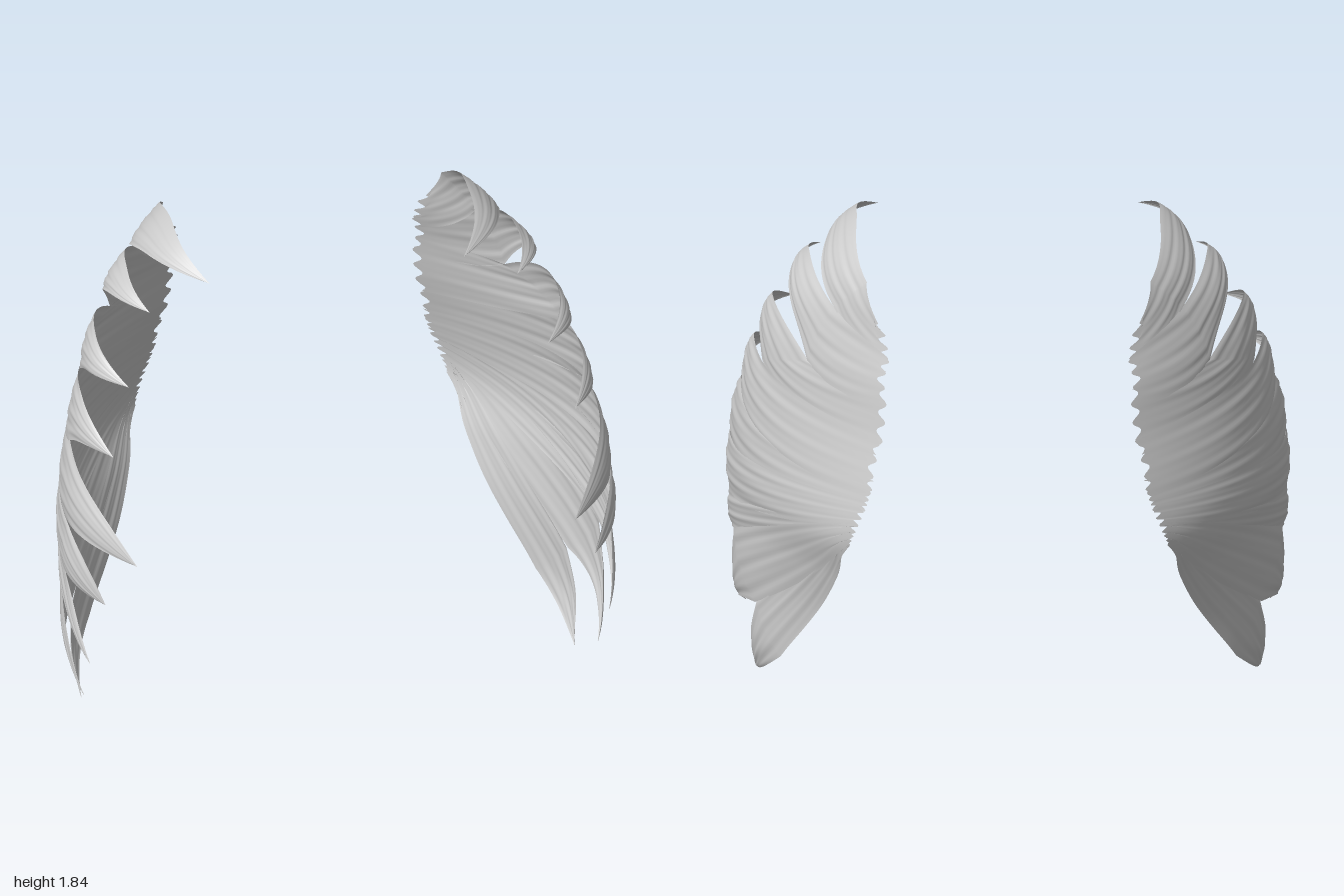
import * as THREE from 'three';

// Values sampled at y = 0, 0.2 ... 2.0 and blended smoothly between
const table = (values) => {
  const curve = new THREE.SplineCurve(values.map((v, i) => new THREE.Vector2(i, v)));
  return (y) => curve.getPoint(THREE.MathUtils.clamp(y / 2, 0, 1)).y;
};
const outerX = table([0.89, 0.95, 0.98, 0.99, 0.99, 0.97, 0.925, 0.87, 0.775, 0.595, 0.38]);
const crestZ = table([0.1, 0.17, 0.23, 0.25, 0.24, 0.2, 0.15, 0.08, 0, -0.05, -0.08]);
const backBend = table([1, 1.12, 0.98, 0.81, 0.68, 0.8, 1, 1.28, 1.7, 1.3, 1]);
const rootZ = table([0.1, -0.2, -0.32, -0.42, -0.55, -0.57, -0.53, -0.5, -0.43, -0.35, -0.3]);

// Edges between neighbouring feathers, top to bottom: root height and notch [z, y]
const ROOTS = [1.6, 1.5, 1.38, 1.2, 1.05, 0.97, 0.93, 0.89, 0.85, 0.775];
const NOTCHES = [[-0.36, 1.73], [-0.3, 1.6], [-0.27, 1.38], [-0.04, 1.27], [0.13, 1.09],
  [0.28, 0.845], [0.26, 0.64], [0.13, 0.525], [-0.05, 0.32], [-0.18, 0.17]];

// Feathers from top to bottom: tip [z, y], bow of upper and lower edge, inward curl
const FEATHERS = [
  { tip: [0.245, 1.745], bows: [0.105, 0.065], curl: 4.4 },
  { tip: [0.19, 1.617], bows: [0.075, 0.08], curl: 6 },
  { tip: [0.275, 1.37], bows: [0.105, 0.038], curl: 8.5 },
  { tip: [0.375, 1.15], bows: [0.055, 0.025], curl: 5.2 },
  { tip: [0.58, 0.815], bows: [0.06, 0.01], curl: 2.9 },
  { tip: [0.48, 0.61], bows: [0.03, 0.005], curl: 4.3 },
  { tip: [0.47, 0.37], bows: [0.015, 0.01], curl: 1.3 },
  { tip: [0.32, 0.15], bows: [0, 0.02], curl: 1 },
  { tip: [0.09, 0.002], bows: [0, -0.02], curl: 1 },
];

// Edge from the root to the notch (first half), then bowed out to the tip
function featherEdge(k, tipPoint, bow, overlap) {
  const rootY = ROOTS[k] - 2 * overlap;
  const root = new THREE.Vector2(rootZ(rootY), rootY);
  const notch = new THREE.Vector2(...NOTCHES[k]);
  const tip = new THREE.Vector2(...tipPoint);
  const middle = root.clone().lerp(notch, 0.5);
  middle.y -= 2 * overlap;
  const along = tip.clone().sub(notch).normalize();
  const bulge = notch.clone().lerp(tip, 0.5).addScaledVector(new THREE.Vector2(-along.y, along.x), 2 * bow);
  const inner = new THREE.QuadraticBezierCurve(root, middle, notch);
  const free = new THREE.QuadraticBezierCurve(notch, bulge, tip);
  return (u) => (u < 0.5 ? inner.getPoint(2 * u) : free.getPoint(2 * u - 1));
}

// One feather: a sheet between two edges, wrapped on the bowed wing surface
function featherGeometry({ tip, bows, curl }, index, side) {
  const NU = 44, NV = 28;
  const overlap = index < FEATHERS.length - 1 ? 0.03 : 0;
  const top = featherEdge(index, tip, bows[0], 0);
  const bottom = featherEdge(index + 1, tip, bows[1], overlap);
  const positions = [], faces = [];
  for (let i = 0; i <= NU; i++) {
    const u = i / NU;
    const a = top(u), b = bottom(u);
    for (let j = 0; j <= NV; j++) {
      const v = j / NV;
      const y = THREE.MathUtils.lerp(a.y, b.y, v);
      let z = THREE.MathUtils.lerp(a.x, b.x, v);
      // ragged root
      z += Math.max(0, 1 - u * 10) * 0.01 * Math.sin(j * 0.8 + index * 3);
      const d = z - crestZ(y);
      let x = outerX(y) - (d > 0 ? curl * d ** 2.5 : backBend(y) * d * d);
      // rounded across its width, with fine barbs
      const fade = Math.sin(Math.PI * Math.min(1, u * 0.95 + 0.02));
      x -= 0.02 * fade * u * (2 * v - 1) ** 2;
      x += 0.003 * fade * (0.6 * Math.sin(v * 20 + 1.5 * Math.sin(u * 6 + index) + index)
        + 0.4 * Math.sin(v * 38 - u * 9 + index * 2));
      // neighbours lie at alternate depths
      x += 0.003 * (index % 2);
      positions.push(side * x, y, z);
      if (i < NU && j < NV) {
        const p = i * (NV + 1) + j, q = p + NV + 1;
        if (side > 0) faces.push(p, p + 1, q, q, p + 1, q + 1);
        else faces.push(p, q, p + 1, q, q + 1, p + 1);
      }
    }
  }
  const geometry = new THREE.BufferGeometry();
  geometry.setAttribute('position', new THREE.Float32BufferAttribute(positions, 3));
  geometry.setIndex(faces);
  geometry.computeVertexNormals();
  return geometry;
}

export function createModel() {
  const model = new THREE.Group();
  model.name = 'wings';
  const plumage = new THREE.MeshStandardMaterial({ color: 0xcccccc, side: THREE.DoubleSide });
  plumage.name = 'pale grey plumage';

  for (const side of [1, -1]) {
    const wing = new THREE.Group();
    wing.name = side > 0 ? 'leftWing' : 'rightWing';
    FEATHERS.forEach((feather, i) => {
      const mesh = new THREE.Mesh(featherGeometry(feather, i, side), plumage);
      mesh.name = `feather${i + 1}`;
      wing.add(mesh);
    });
    model.add(wing);
  }
  return model;
}
